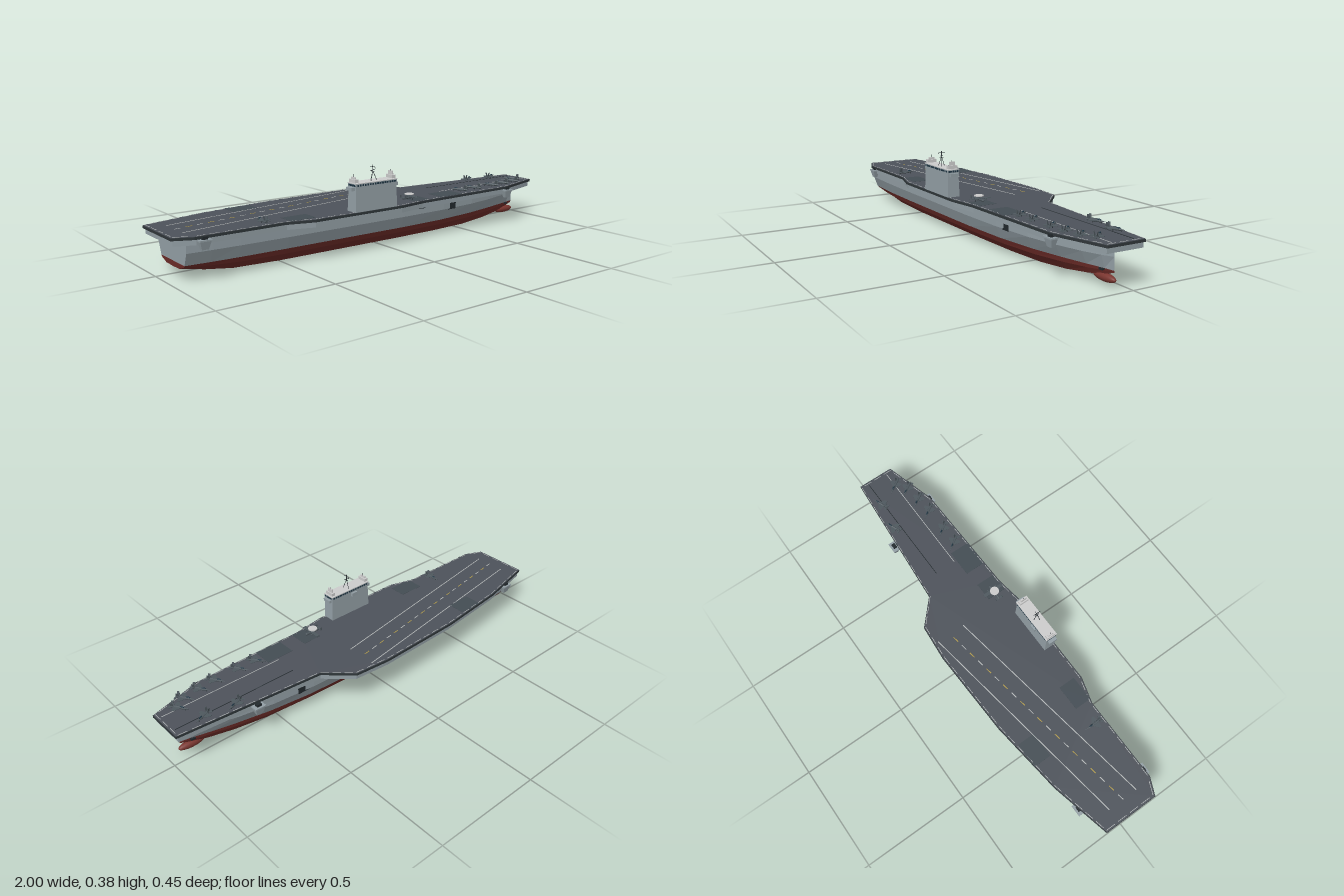
import * as THREE from 'three';

const mat = (color, flat = true) => new THREE.MeshStandardMaterial({ color, flatShading: flat });
const M = {
  hull: mat(0x929ea4), red: mat(0x6b2b27), deck: mat(0x4d525a), edge: mat(0x2f3639), lift: mat(0x434c53),
  line: mat(0xb4b8b8), yellow: mat(0xb09a4a), dark: mat(0x22292d), glass: mat(0x1f3644),
  plane: mat(0x4e585e), pale: mat(0xc4c8c4), bulb: mat(0x7a3630, false),
};
const CZ = 0.043, DECK = 0.187;

function add(parent, name, geo, material, x = 0, y = 0, z = 0) {
  const m = new THREE.Mesh(geo, material);
  m.name = name;
  m.position.set(x, y, z);
  parent.add(m);
  return m;
}
const box = (p, name, material, w, h, d, x, y, z) => add(p, name, new THREE.BoxGeometry(w, h, d), material, x, y, z);

// thin rod between two points
function rod(p, name, material, a, b, r = 0.0012) {
  const A = new THREE.Vector3(...a), B = new THREE.Vector3(...b), d = B.clone().sub(A);
  const m = add(p, name, new THREE.CylinderGeometry(r, r, d.length(), 6), material);
  m.position.copy(A).add(B).multiplyScalar(0.5);
  m.quaternion.setFromUnitVectors(new THREE.Vector3(0, 1, 0), d.normalize());
}

// flat painted strip on the deck
function strip(p, name, material, x1, z1, x2, z2, w = 0.004) {
  const m = box(p, name, material, Math.hypot(x2 - x1, z2 - z1), 0.001, w, (x1 + x2) / 2, DECK + 0.0004, (z1 + z2) / 2);
  m.rotation.y = -Math.atan2(z2 - z1, x2 - x1);
}

// horizontal slab from an x,z outline
function slab(outline, y, h) {
  const s = new THREE.Shape(outline.map(([x, z]) => new THREE.Vector2(x, -z)));
  return new THREE.ExtrudeGeometry(s, { depth: h, bevelEnabled: false }).rotateX(-Math.PI / 2).translate(0, y, 0);
}

// skin through rows of points, with the first row capped
function loft(rows) {
  const n = rows[0].length, idx = [];
  for (let i = 0; i < rows.length - 1; i++) for (let j = 0; j < n - 1; j++) {
    const a = i * n + j, b = a + 1, c = a + n, d = c + 1;
    idx.push(a, b, c, c, b, d);
  }
  for (let j = 1; j < n - 1; j++) idx.push(0, j + 1, j);
  const g = new THREE.BufferGeometry();
  g.setAttribute('position', new THREE.Float32BufferAttribute(rows.flat(2), 3));
  g.setIndex(idx);
  g.computeVertexNormals();
  return g;
}

// box narrowing towards its top (or bottom)
function taper(w, h, d, kx, kz, atTop = true) {
  const g = new THREE.BoxGeometry(w, h, d), p = g.attributes.position;
  for (let i = 0; i < p.count; i++) if ((p.getY(i) > 0) === atTop) p.setXYZ(i, p.getX(i) * kx, p.getY(i), p.getZ(i) * kz);
  g.computeVertexNormals();
  return g;
}

function buildHull(g) {
  // x, half width at top, half width at waterline, keel height
  const st = [[-0.945, 0.125, 0.105, 0.045], [-0.84, 0.132, 0.112, 0.024], [-0.72, 0.137, 0.118, 0.008], [-0.5, 0.14, 0.121, 0.002],
    [0.1, 0.14, 0.121, 0.002], [0.35, 0.133, 0.112, 0.002], [0.55, 0.115, 0.089, 0.003], [0.7, 0.088, 0.06, 0.012],
    [0.82, 0.056, 0.032, 0.027], [0.9, 0.026, 0.011, 0.045], [0.945, 0.003, 0.002, 0.06]];
  const mirror = (x, pts) => [...pts, ...pts.slice().reverse().map(([w, y]) => [-w, y])].map(([w, y]) => [x, y, CZ + w]);
  const lower = st.map(([x, , w, k]) => mirror(x, [[w, 0.068], [w * 0.925, k + (0.068 - k) * 0.65], [w * 0.56, k + (0.068 - k) * 0.08], [0, k]]));
  const upper = st.map(([x, t, w]) => mirror(x, [[t, 0.168], [t, 0.12], [w, 0.068]]));
  add(g, 'lowerHull', loft(lower), M.red);
  add(g, 'upperHull', loft(upper), M.hull);
  add(g, 'bowBulb', new THREE.SphereGeometry(1, 20, 12).scale(0.063, 0.017, 0.018), M.bulb, 0.89, 0.031, CZ);
  for (const s of [-1, 1]) {
    box(g, 'anchor', M.dark, 0.02, 0.007, 0.014, 0.89, 0.064, CZ + s * 0.015);
    box(g, 'hangarDoor', M.dark, 0.09, 0.035, 0.014, 0.385, 0.133, CZ + s * 0.122);
    box(g, 'sidePort', M.dark, 0.04, 0.007, 0.012, 0.21, 0.148, CZ + s * 0.134);
  }
  // gun platforms hung under the deck edge
  for (const [x, z] of [[0.755, 0.19], [-0.88, 0.19], [0.64, -0.092], [-0.85, -0.138]]) {
    add(g, 'gunPlatform', taper(0.048, 0.034, 0.03, 0.6, 0.5, false), M.hull, x, 0.149, z);
    box(g, 'platformRim', M.hull, 0.052, 0.006, 0.034, x, 0.168, z);
    box(g, 'mount', M.dark, 0.022, 0.012, 0.016, x, 0.176, z);
  }
}

function buildDeck(g) {
  const outline = [[1, -0.05], [0.325, -0.105], [0.21, -0.212], [0.04, -0.226], [-0.37, -0.212], [-0.72, -0.17], [-1, -0.105],
    [-1, 0.157], [-0.92, 0.193], [-0.52, 0.193], [-0.4, 0.228], [0.06, 0.228], [0.2, 0.207], [0.75, 0.193], [1, 0.123]];
  const inset = outline.map(([x, z]) => [x * 0.99, z * 0.965]);
  add(g, 'deckGallery', slab(inset, 0.152, 0.024), M.hull);
  add(g, 'deckEdge', slab(outline, 0.175, 0.0105), M.edge);
  add(g, 'flightDeck', slab(outline.map(([x, z]) => [x * 0.998, z * 0.99]), 0.18, DECK - 0.18), M.deck);
  // broken edge line
  inset.forEach(([x, z], i) => {
    const [u, v] = inset[(i + 1) % inset.length], n = Math.max(1, Math.round(Math.hypot(u - x, v - z) / 0.06));
    for (let k = 0; k < n; k++) {
      const a = k / n, b = (k + 0.7) / n;
      strip(g, 'edgeLine', M.line, x + (u - x) * a, z + (v - z) * a, x + (u - x) * b, z + (v - z) * b, 0.0025);
    }
  });
  // angled landing lane
  strip(g, 'laneLine', M.line, -0.93, -0.038, 0.115, -0.198);
  strip(g, 'laneLine', M.line, -0.93, 0.108, 0.115, -0.06);
  for (let k = 0; k < 20; k++) {
    const at = (t) => [-0.93 + 1.045 * t, 0.037 - 0.17 * t];
    strip(g, 'laneCentreDash', k % 2 ? M.yellow : M.line, ...at(k / 20), ...at((k + 0.55) / 20));
  }
  // catapult tracks
  strip(g, 'catapultTrack', M.line, 0.4, 0.09, 0.98, 0.09, 0.003);
  strip(g, 'catapultTrack', M.dark, 0.4, -0.012, 0.98, -0.012, 0.003);
  // aircraft lifts
  for (const [x, z, w, d] of [[-0.54, -0.143, 0.12, 0.085], [-0.44, 0.157, 0.12, 0.08], [0.195, 0.155, 0.09, 0.09], [0.38, 0.15, 0.13, 0.095]])
    box(g, 'aircraftLift', M.lift, w, 0.0012, d, x, DECK + 0.0003, z);
}

function buildIsland(g) {
  const x = -0.088, z = 0.199;
  add(g, 'islandTower', taper(0.225, 0.106, 0.058, 0.97, 0.88), M.hull, x, DECK + 0.053, z);
  box(g, 'bridge', M.hull, 0.222, 0.016, 0.056, x, 0.3, z);
  box(g, 'bridgeRoof', M.pale, 0.226, 0.003, 0.058, x, 0.309, z);
  for (let i = 0; i < 16; i++) box(g, 'bridgeWindow', M.glass, 0.009, 0.008, 0.058, x - 0.099 + i * 0.0132, 0.301, z);
  for (let i = 0; i < 5; i++) box(g, 'endWindow', M.glass, 0.225, 0.008, 0.007, x, 0.301, z - 0.02 + i * 0.01);
  box(g, 'sideCabin', M.hull, 0.03, 0.018, 0.012, x - 0.02, 0.28, z - 0.03);
  // end platforms with radar panels
  for (const [px, h] of [[-0.19, 0.024], [0.01, 0.032]]) {
    const out = Math.sign(px - x);
    box(g, 'endPlatform', M.hull, 0.026, 0.014, 0.04, px + out * 0.012, 0.286, z);
    box(g, 'radarBase', M.pale, 0.018, 0.014, 0.044, px, 0.319, z);
    add(g, 'radarPanel', taper(0.008, h, 0.03, 0.8, 0.9), M.pale, px, 0.311 + h / 2, z);
    rod(g, 'whipAerial', M.dark, [px, 0.31, z], [px, 0.348, z]);
  }
  // tripod mast
  const top = [x, 0.352, z];
  for (const [dx, dz] of [[-0.016, 0.008], [0.016, 0.008], [0, -0.014]]) rod(g, 'mastLeg', M.edge, [x + dx, 0.309, z + dz], top);
  rod(g, 'mastPole', M.edge, top, [x, 0.377, z], 0.0016);
  rod(g, 'mastYard', M.edge, [x, 0.369, z - 0.018], [x, 0.369, z + 0.018]);
  rod(g, 'mastYard', M.edge, [x - 0.014, 0.352, z], [x + 0.014, 0.358, z]);
  rod(g, 'mastYard', M.edge, [x, 0.349, z - 0.01], [x, 0.349, z + 0.01]);
}

// parked jet, nose along +x before turning
function jet(g, x, z, heading) {
  const j = new THREE.Group();
  j.name = 'parkedJet';
  j.position.set(x, DECK, z);
  j.rotation.y = heading;
  const along = new THREE.CylinderGeometry(0.0055, 0.0065, 0.055, 8).rotateZ(-Math.PI / 2);
  add(j, 'fuselage', along, M.plane, -0.012, 0.009, 0);
  add(j, 'nose', new THREE.ConeGeometry(0.0055, 0.03, 8).rotateZ(-Math.PI / 2), M.plane, 0.0305, 0.009, 0);
  add(j, 'canopy', new THREE.SphereGeometry(1, 8, 6).scale(0.01, 0.004, 0.0035), M.glass, 0.014, 0.014, 0);
  add(j, 'wings', slab([[0.012, 0], [-0.012, 0.028], [-0.022, 0.028], [-0.024, 0], [-0.022, -0.028], [-0.012, -0.028]], 0.009, 0.0018), M.plane);
  add(j, 'tailplane', slab([[-0.026, 0], [-0.037, 0.017], [-0.044, 0.017], [-0.042, 0], [-0.044, -0.017], [-0.037, -0.017]], 0.009, 0.0015), M.plane);
  for (const s of [-1, 1]) {
    add(j, 'fin', taper(0.016, 0.018, 0.0018, 0.55, 1), M.plane, -0.031, 0.022, s * 0.006).rotation.x = s * 0.25;
    rod(j, 'wheelLeg', M.dark, [-0.01, 0, s * 0.006], [-0.01, 0.008, s * 0.006]);
  }
  rod(j, 'noseLeg', M.dark, [0.025, 0, 0], [0.025, 0.008, 0]);
  g.add(j);
}

// propeller aircraft with a radar dish
function radarPlane(g, x, z) {
  const p = new THREE.Group();
  p.name = 'radarPlane';
  p.position.set(x, DECK, z);
  add(p, 'fuselage', new THREE.CapsuleGeometry(0.0055, 0.07, 4, 8).rotateZ(-Math.PI / 2), M.plane, 0, 0.01, 0);
  box(p, 'wing', M.plane, 0.016, 0.002, 0.1, 0.01, 0.015, 0);
  box(p, 'tailplane', M.plane, 0.01, 0.0015, 0.035, -0.036, 0.013, 0);
  for (const s of [-1, 1]) {
    box(p, 'fin', M.plane, 0.01, 0.014, 0.0015, -0.036, 0.016, s * 0.017);
    box(p, 'engine', M.plane, 0.026, 0.005, 0.005, 0.014, 0.013, s * 0.022);
    rod(p, 'wheelLeg', M.dark, [0.005, 0, s * 0.02], [0.005, 0.012, s * 0.02]);
  }
  rod(p, 'dishPost', M.plane, [0, 0.014, 0], [0, 0.024, 0], 0.002);
  add(p, 'radarDish', new THREE.CylinderGeometry(0.021, 0.021, 0.004, 20), M.pale, 0, 0.026, 0);
  g.add(p);
}

export function createModel() {
  const g = new THREE.Group();
  g.name = 'aircraftCarrier';
  buildHull(g);
  buildDeck(g);
  buildIsland(g);
  // parked row on the left bow, pairs on the right bow, one aft
  for (const x of [0.48, 0.57, 0.69, 0.77, 0.85]) jet(g, x, 0.14 - Math.max(0, x - 0.7) * 0.12, 2.15);
  jet(g, 0.9, 0.085, 2.15);
  jet(g, 0.72, -0.045, 0.35);
  jet(g, 0.86, -0.025, 0.35);
  jet(g, -0.6, 0.135, Math.PI / 2);
  radarPlane(g, 0.16, 0.15);
  return g;
}
